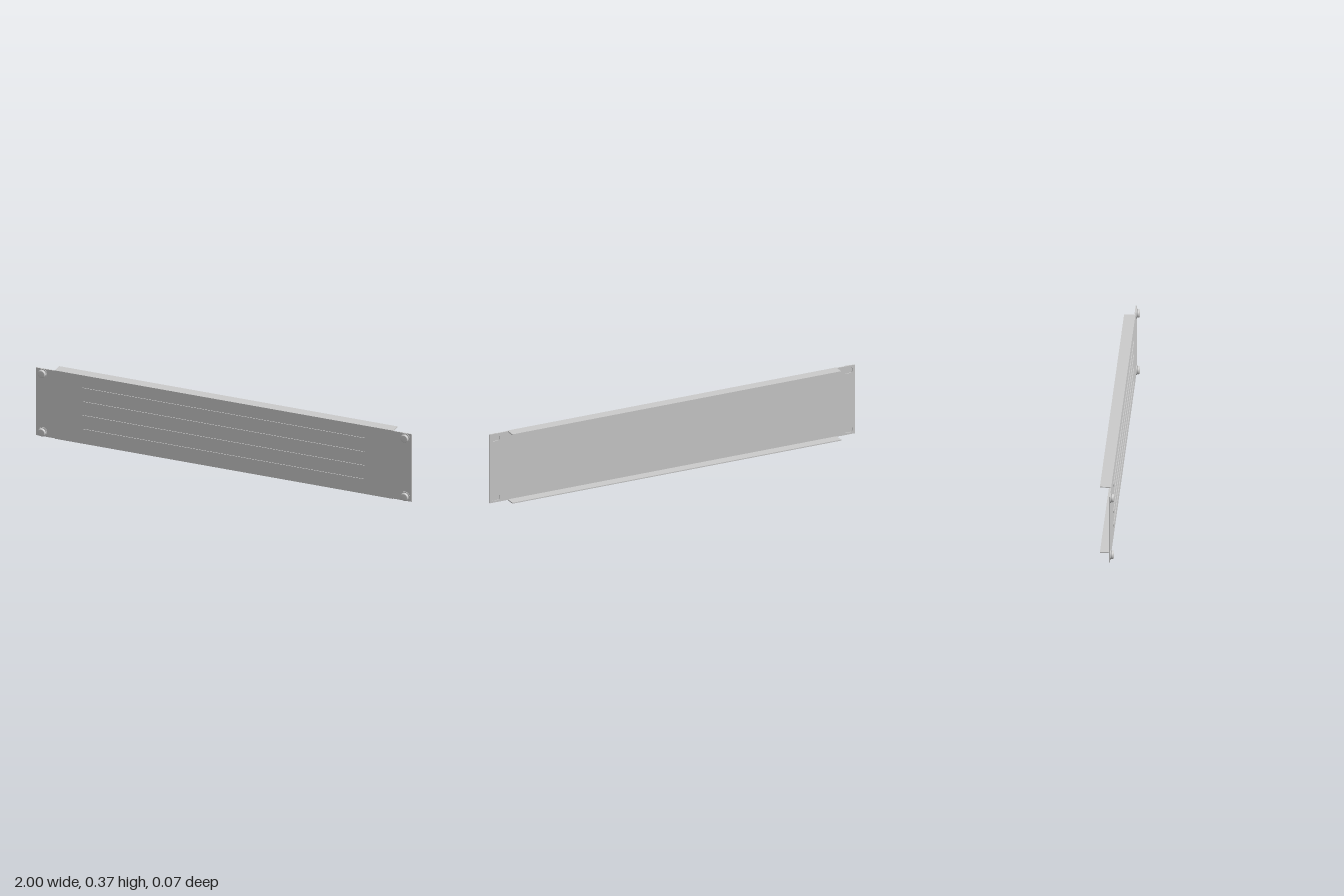
import * as THREE from 'three';

const material = new THREE.MeshStandardMaterial({ color: 0xcccccc });
const HEIGHT = 0.366, BACK = 0.0135, FRONT = 0.019, FLANGE_BACK = -0.0365;
const SCREW_X = 0.965, SCREW_Y = [0.0265, 0.3395];

function add(group, name, geometry, x = 0, y = 0, z = 0) {
  const mesh = new THREE.Mesh(geometry, material);
  mesh.name = name;
  mesh.position.set(x, y, z);
  group.add(mesh);
  return mesh;
}

// Horizontal slot with rounded ends
function slot(x, y, half, r) {
  const path = new THREE.Path();
  path.absarc(x + half - r, y, r, -Math.PI / 2, Math.PI / 2);
  path.absarc(x - half + r, y, r, Math.PI / 2, Math.PI * 1.5);
  path.closePath();
  return path;
}

export function createModel() {
  const model = new THREE.Group();
  model.name = 'ventPanel';

  // Face plate with four mounting slots
  const plate = new THREE.Shape();
  plate.moveTo(-1, 0.002).lineTo(1, 0.002).lineTo(1, HEIGHT - 0.002).lineTo(-1, HEIGHT - 0.002);
  plate.closePath();
  for (const side of [-1, 1])
    for (const y of SCREW_Y) plate.holes.push(slot(side * SCREW_X, y, 0.023, 0.015));
  add(model, 'facePlate', new THREE.ExtrudeGeometry(plate,
    { depth: FRONT - BACK, bevelEnabled: false, curveSegments: 16 }), 0, 0, BACK);

  // Folded flanges along the top and bottom edges
  const flange = new THREE.BoxGeometry(1.8, 0.005, FRONT - FLANGE_BACK);
  const flangeZ = (FRONT + FLANGE_BACK) / 2;
  add(model, 'bottomFlange', flange, 0, 0.0025, flangeZ);
  add(model, 'topFlange', flange, 0, HEIGHT - 0.0025, flangeZ);

  // Four shallow horizontal ribs
  const rib = new THREE.BoxGeometry(1.5, 0.011, 0.0035);
  for (let i = 0; i < 4; i++)
    add(model, 'rib', rib, 0, 0.0745 + i * 0.0735, FRONT + 0.00175);

  // Corner screws: flat washer and tapered round head
  const washer = new THREE.CylinderGeometry(0.0245, 0.0245, 0.0035, 32).rotateX(Math.PI / 2);
  const profile = [[0, 0], [0.0195, 0], [0.021, 0.003], [0.021, 0.005], [0.0195, 0.011],
    [0.018, 0.0135], [0.016, 0.014], [0, 0.014]].map(([r, h]) => new THREE.Vector2(r, h));
  const head = new THREE.LatheGeometry(profile, 32).rotateX(Math.PI / 2);
  for (const side of [-1, 1]) {
    for (const y of SCREW_Y) {
      const screw = new THREE.Group();
      screw.name = 'cornerScrew';
      screw.position.set(side * SCREW_X, y, FRONT);
      add(screw, 'washer', washer, 0, 0, 0.00175);
      add(screw, 'screwHead', head, 0, 0, 0.0035);
      model.add(screw);
    }
  }
  return model;
}
